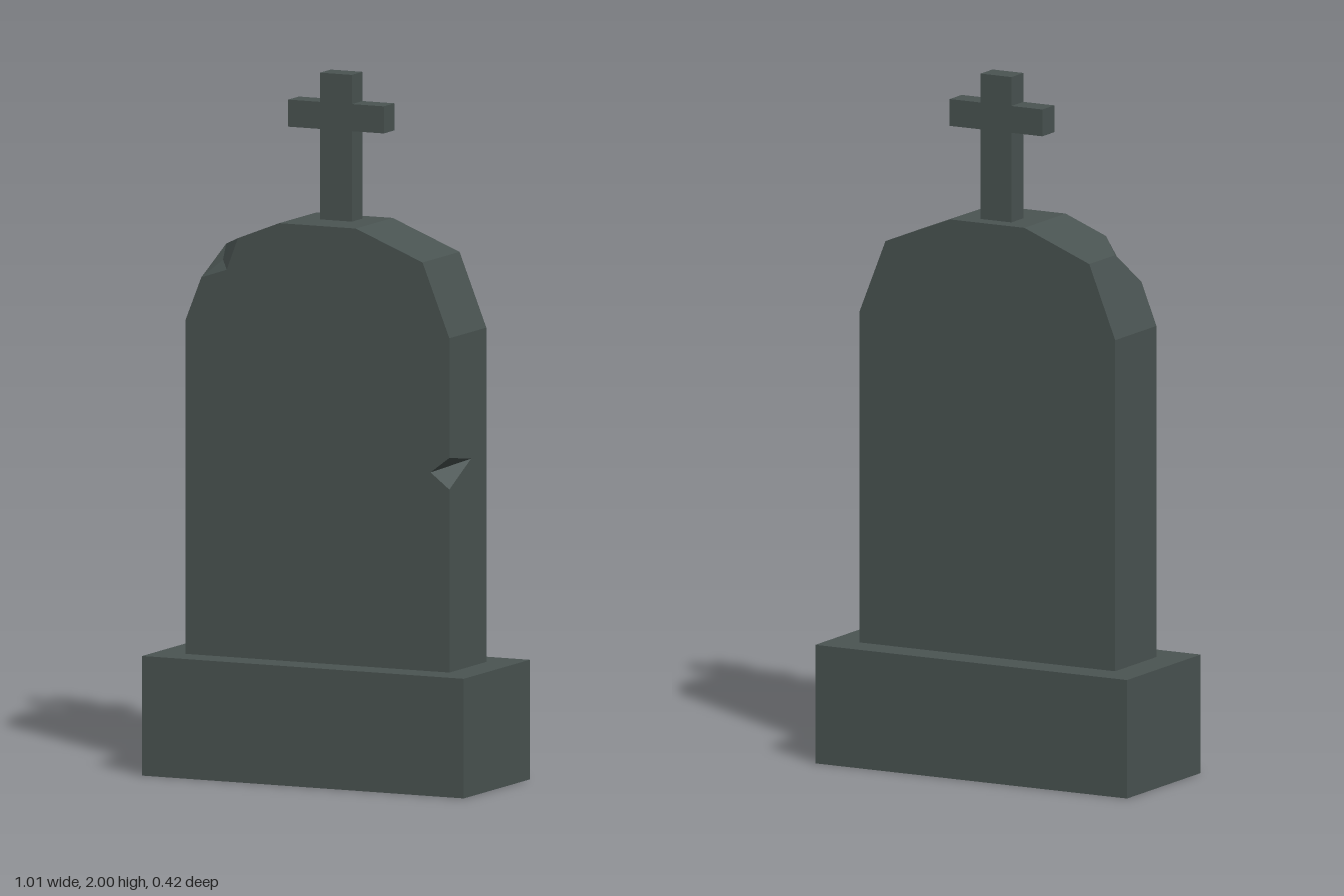
import * as THREE from 'three';

export function createModel() {
  const group = new THREE.Group();
  const stone = new THREE.MeshStandardMaterial({ color: 0x4a5452 });
  stone.name = 'darkStone';

  const add = (geometry, name) => {
    const mesh = new THREE.Mesh(geometry, stone);
    mesh.name = name;
    group.add(mesh);
    return mesh;
  };

  // Plinth
  add(new THREE.BoxGeometry(1.01, 0.34, 0.418), 'plinth').position.y = 0.17;

  // Headstone: flat faces, each fanned from its first corner
  const f = 0.117, b = -0.117;
  const positions = [];
  const face = (...pts) => {
    for (let i = 1; i < pts.length - 1; i++) positions.push(...pts[0], ...pts[i], ...pts[i + 1]);
  };
  const outline = [
    [0.414, 0.34], [0.414, 1.29], [0.33, 1.5], [0.12, 1.583],
    [-0.12, 1.583], [-0.33, 1.5], [-0.414, 1.29], [-0.414, 0.34],
  ];
  const front = outline.map(([x, y]) => [x, y, f]);
  const back = outline.map(([x, y]) => [x, y, b]);

  // Corners of the crack in the left edge
  const crackTop = [0.414, 0.95, f], crackLow = [0.414, 0.86, f];
  const crackIn = [0.355, 0.905, f], crackEnd = [0.414, 0.93, -0.02];

  // Corners of the chip on the right shoulder
  const chipLow = [-0.365, 1.413, f], chipHigh = [-0.25, 1.532, f];
  const chipBack = [-0.33, 1.5, 0.03], chipFront = [-0.285, 1.44, f];
  const chipIn = [-0.305, 1.465, 0.1];

  // Front and back
  face(crackIn, crackTop, ...front.slice(1, 5), chipHigh, chipFront, chipLow,
    front[6], front[7], front[0], crackLow);
  face(...[...back].reverse());

  // Sides, shoulders and crown
  face(crackEnd, crackLow, front[0], back[0], back[1], front[1], crackTop);
  for (const i of [1, 2, 3, 6]) face(front[i], back[i], back[i + 1], front[i + 1]);
  face(front[4], back[4], back[5], chipBack, chipHigh);
  face(back[5], back[6], front[6], chipLow, chipBack);

  // Inside of the crack and the chip
  face(crackTop, crackIn, crackEnd);
  face(crackLow, crackEnd, crackIn);
  face(chipIn, chipLow, chipFront, chipHigh, chipBack, chipLow);

  const slab = new THREE.BufferGeometry();
  slab.setAttribute('position', new THREE.Float32BufferAttribute(positions, 3));
  slab.computeVertexNormals();
  add(slab, 'headstone');

  // Cross, set behind the middle of the crown
  const half = [[0.05, 1.58], [0.05, 1.84], [0.15, 1.84], [0.15, 1.917], [0.05, 1.917], [0.05, 2]];
  const mirrored = half.map(([x, y]) => [-x, y]).reverse();
  const shape = new THREE.Shape([...half, ...mirrored].map(([x, y]) => new THREE.Vector2(x, y)));
  const cross = new THREE.ExtrudeGeometry(shape, { depth: 0.068, bevelEnabled: false });
  add(cross, 'cross').position.z = -0.068;

  return group;
}
